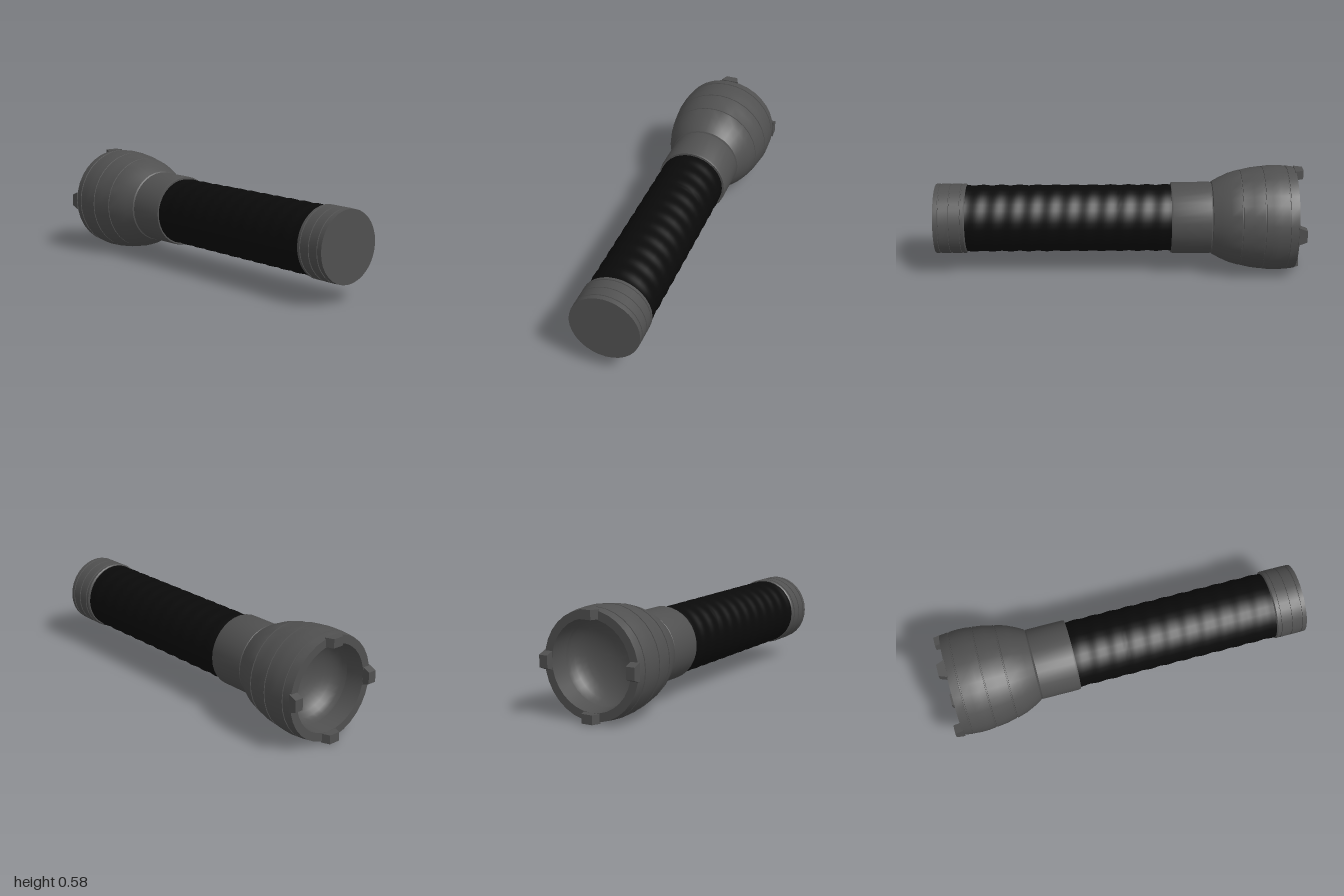
import * as THREE from 'three';
import { toCreasedNormals } from 'three/addons/utils/BufferGeometryUtils.js';

const SIDES = 32;

// Smooth turned part, profile given as [radius, position along the barrel]
function turned(name, profile, material) {
  const points = profile.map(([r, z]) => new THREE.Vector2(r, z));
  const mesh = new THREE.Mesh(toCreasedNormals(new THREE.LatheGeometry(points, SIDES), 0.5), material);
  mesh.name = name;
  return mesh;
}

// Narrow notch cut around a turned part
const groove = (r, z, depth = 0.004) => [
  [r, z - 0.004], [r - depth, z - 0.003], [r - depth, z + 0.003], [r, z + 0.004],
];

export function createModel() {
  const metal = new THREE.MeshStandardMaterial({ color: 0x505050 });
  metal.name = 'dark grey metal';
  const rubber = new THREE.MeshStandardMaterial({ color: 0x0a0a0a });
  rubber.name = 'black rubber';

  const model = new THREE.Group();
  model.name = 'flashlight';
  // Barrel axis lies along z, lamp end at -z
  const barrel = new THREE.Group();
  barrel.name = 'barrel';
  barrel.rotation.x = Math.PI / 2;
  barrel.position.y = 0.288;
  model.add(barrel);

  // Flared head with grooved outer shell and open rim
  barrel.add(turned('head', [
    [0.225, -0.86], [0.235, -0.96], [0.279, -0.96],
    ...groove(0.285, -0.91),
    [0.288, -0.86], [0.287, -0.82],
    ...groove(0.282, -0.78),
    [0.275, -0.72],
    ...groove(0.262, -0.66),
    [0.245, -0.6], [0.222, -0.55], [0.2, -0.51], [0.19, -0.505],
  ], metal));

  // Concave reflector inside the head
  const bowl = [];
  for (let i = 0; i <= 8; i++) {
    const a = (i / 8) * Math.PI / 2;
    bowl.push([0.225 * Math.sin(a), -0.86 + 0.13 * Math.cos(a)]);
  }
  barrel.add(turned('reflector', bowl, metal));

  // Four tapered teeth on the rim
  const tooth = new THREE.Shape([
    new THREE.Vector2(-0.05, -0.005), new THREE.Vector2(0.05, -0.005),
    new THREE.Vector2(0.032, 0.04), new THREE.Vector2(-0.032, 0.04),
  ]);
  for (let i = 0; i < 4; i++) {
    const geometry = new THREE.ExtrudeGeometry(tooth, { depth: 0.049, bevelEnabled: false });
    geometry.rotateZ(Math.PI).translate(0, -0.96, 0.234).rotateY(i * Math.PI / 2);
    const mesh = new THREE.Mesh(geometry, metal);
    mesh.name = 'rimTooth';
    barrel.add(mesh);
  }

  // Collar between head and grip
  barrel.add(turned('collar', [
    [0.19, -0.51], [0.196, -0.5], [0.196, -0.295], [0.192, -0.285], [0.17, -0.285],
  ], metal));

  // Grip with shallow spiral ribs
  const rings = 88;
  const gripLine = [];
  for (let i = 0; i <= rings; i++) gripLine.push(new THREE.Vector2(0.182, -0.29 + 1.125 * i / rings));
  const gripGeometry = new THREE.LatheGeometry(gripLine, SIDES);
  const p = gripGeometry.attributes.position;
  for (let i = 0; i < p.count; i++) {
    const x = p.getX(i), z = p.getZ(i);
    const k = 1 + 0.012 * Math.cos(Math.atan2(x, z) + p.getY(i) * Math.PI * 2 / 0.1);
    p.setX(i, x * k);
    p.setZ(i, z * k);
  }
  const grip = new THREE.Mesh(toCreasedNormals(gripGeometry, 0.5), rubber);
  grip.name = 'grip';
  barrel.add(grip);

  // Grooved tail cap with a flat end
  barrel.add(turned('tailCap', [
    [0.17, 0.83], [0.186, 0.83], [0.191, 0.836],
    ...groove(0.191, 0.855), ...groove(0.191, 0.915), ...groove(0.191, 0.973),
    [0.19, 1], [0, 1],
  ], metal));

  return model;
}
